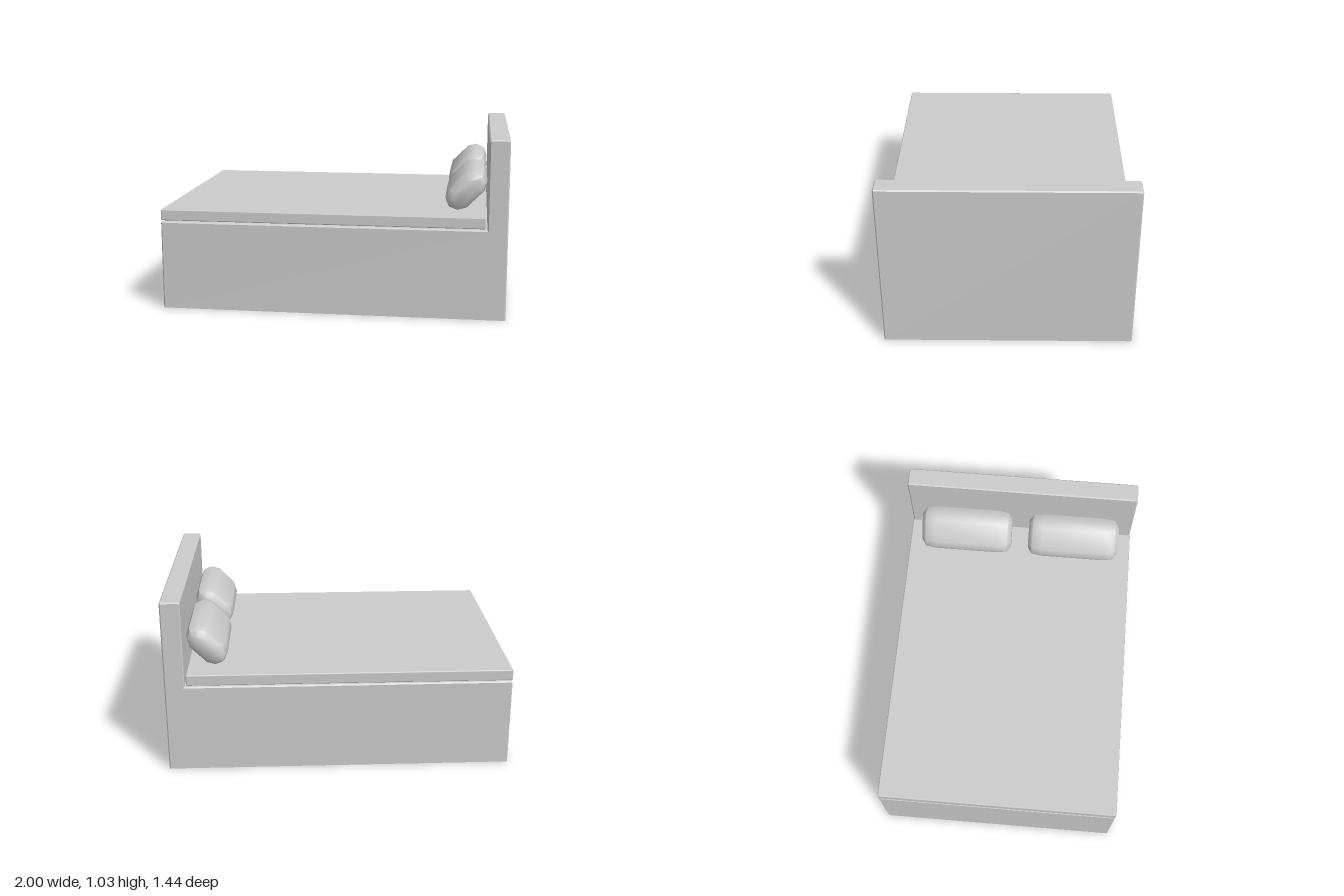
import * as THREE from 'three';
import { toCreasedNormals } from 'three/addons/utils/BufferGeometryUtils.js';
import { RoundedBoxGeometry } from 'three/addons/geometries/RoundedBoxGeometry.js';

const HALF_WIDTH = 0.72;
const BEVEL = 0.007;

// Base and headboard: one bevelled L-shaped shell, open underneath
function frameGeometry() {
  const b = BEVEL, top = 1.03, deck = 0.52, head = 0.885;
  const shape = new THREE.Shape([
    [-1, 0], [1, 0], [1, top - b], [1 - b, top], [head + b, top], [head, top - b],
    [head, deck], [-1 + b, deck], [-1, deck - b],
  ].map(([x, y]) => new THREE.Vector2(x, y)));
  const depth = 2 * (HALF_WIDTH - b);
  const geo = new THREE.ExtrudeGeometry(shape, {
    depth, bevelThickness: b, bevelSize: b, bevelOffset: -b, bevelSegments: 1,
  });
  geo.translate(0, 0, -depth / 2);

  // Flatten the lower rim to the ground and drop the bottom faces
  const p = geo.attributes.position;
  const kept = [];
  for (let i = 0; i < p.count; i += 3) {
    const tri = [0, 1, 2].map((k) => {
      const y = p.getY(i + k);
      return [p.getX(i + k), y < 0.02 ? 0 : y, p.getZ(i + k)];
    });
    if (tri.some((v) => v[1] > 0)) kept.push(...tri.flat());
  }
  const open = new THREE.BufferGeometry();
  open.setAttribute('position', new THREE.Float32BufferAttribute(kept, 3));
  open.computeVertexNormals();
  return open;
}

// Pillow: a ten-sided cross-section lofted along z, shrinking at both ends
function pillowGeometry() {
  const profile = [
    [0.14, 0], [0.119, 0.049], [0.072, 0.077], [-0.072, 0.077], [-0.119, 0.049],
    [-0.14, 0], [-0.119, -0.049], [-0.072, -0.077], [0.072, -0.077], [0.119, -0.049],
  ];
  // z, scale along the length, scale across the thickness
  const half = [[0.2, 1, 1], [0.263, 0.92, 0.86], [0.288, 0.66, 0.5]];
  const rings = [...half.map(([z, a, c]) => [-z, a, c]).reverse(), ...half];
  const n = profile.length, pos = [], index = [];
  for (const [z, a, c] of rings) {
    for (const [x, y] of profile) pos.push(x * a, y * c, z);
  }
  for (let i = 0; i < rings.length - 1; i++) {
    for (let j = 0; j < n; j++) {
      const a = i * n + j, b = i * n + (j + 1) % n;
      index.push(a, b, b + n, a, b + n, a + n);
    }
  }
  // End caps
  const last = (rings.length - 1) * n;
  for (let j = 1; j < n - 1; j++) {
    index.push(0, j + 1, j, last, last + j, last + j + 1);
  }
  const geo = new THREE.BufferGeometry();
  geo.setAttribute('position', new THREE.Float32BufferAttribute(pos, 3));
  geo.setIndex(index);
  return toCreasedNormals(geo, 0.75);
}

export function createModel() {
  const bed = new THREE.Group();
  bed.name = 'bed';
  const add = (name, geometry, options = {}) => {
    const mesh = new THREE.Mesh(geometry,
      new THREE.MeshStandardMaterial({ color: 0xcccccc, ...options }));
    mesh.name = name;
    bed.add(mesh);
    return mesh;
  };

  add('frameWithHeadboard', frameGeometry(), { flatShading: true, side: THREE.DoubleSide });

  // Thin mattress lying just above the deck
  const mattress = add('mattress',
    new RoundedBoxGeometry(1.876, 0.065, 2 * HALF_WIDTH, 1, BEVEL));
  mattress.position.set(-0.062, 0.5595, 0);

  // Two pillows leaning on the headboard
  const pillow = pillowGeometry();
  for (const [name, side] of [['frontPillow', 1], ['backPillow', -1]]) {
    const mesh = add(name, pillow);
    mesh.position.set(0.76, 0.72, side * 0.343);
    mesh.rotation.z = Math.PI / 4;
  }
  return bed;
}
